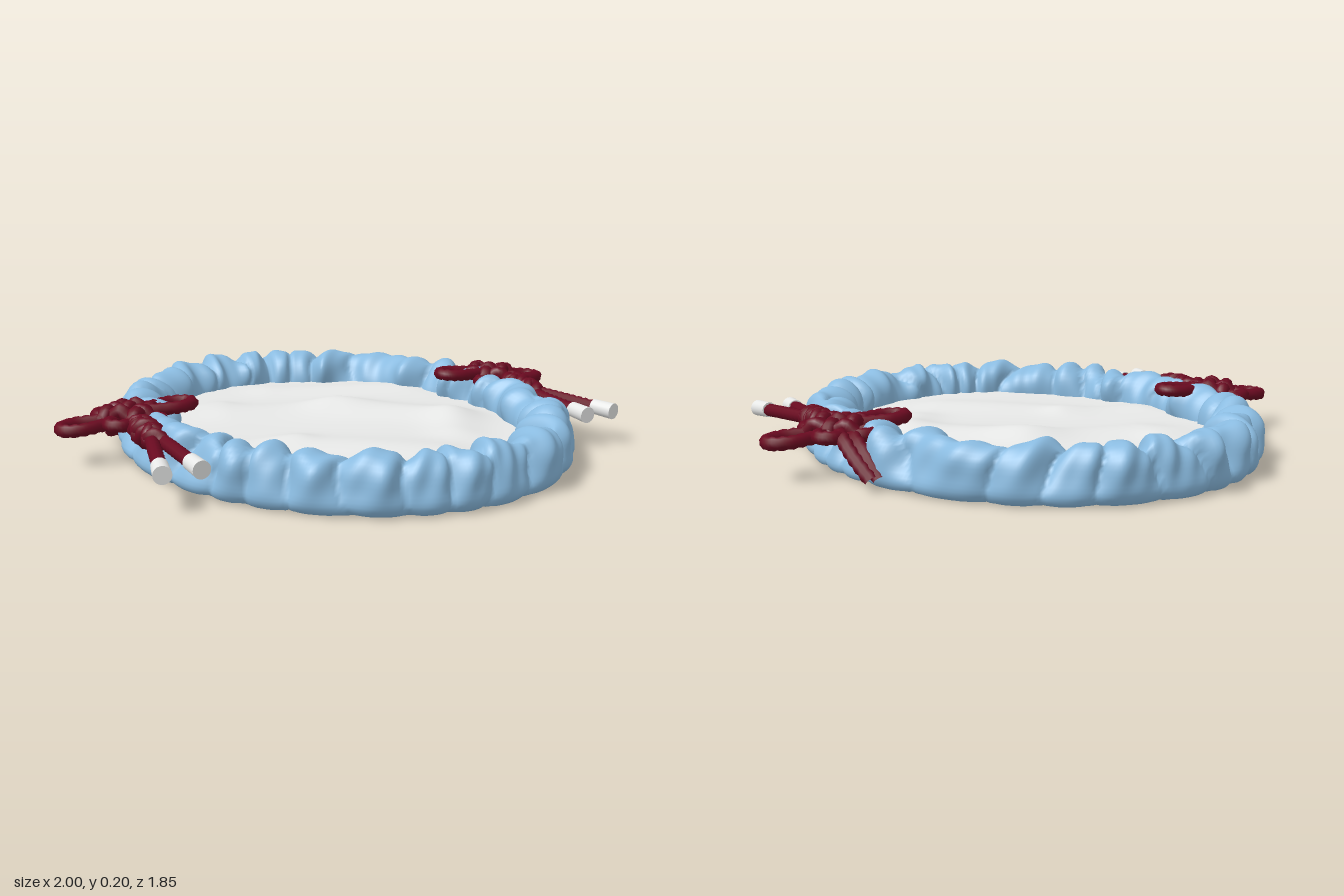
import * as THREE from 'three';

const mat = (name, color) => {
  const m = new THREE.MeshStandardMaterial({ color });
  m.name = name;
  return m;
};
const V = (x, y, z) => new THREE.Vector3(x, y, z);
const A = 0.772, B = 0.915; // half axes of the oval

// Surface from a point rule: u runs around (closed), v runs along rows.
function surface(nu, nv, closedV, point) {
  const pos = [], idx = [], rows = closedV ? nv : nv + 1;
  for (let i = 0; i < nu; i++)
    for (let j = 0; j < rows; j++) pos.push(...point((i / nu) * Math.PI * 2, j / nv).toArray());
  for (let i = 0; i < nu; i++)
    for (let j = 0; j < nv; j++) {
      const i2 = (i + 1) % nu, j2 = (j + 1) % rows;
      const a = i * rows + j, b = i * rows + j2, c = i2 * rows + j, d = i2 * rows + j2;
      idx.push(a, b, c, b, d, c);
    }
  const g = new THREE.BufferGeometry();
  g.setAttribute('position', new THREE.Float32BufferAttribute(pos, 3));
  g.setIndex(idx);
  g.computeVertexNormals();
  return g;
}

// Gathered fabric rim: a closed section swept round the oval and creased
function rimGeometry() {
  const section = new THREE.CatmullRomCurve3([
    V(0.02, 0.0, 0), V(-0.005, 0.03, 0), V(0.0, 0.08, 0), V(0.012, 0.135, 0), V(0.045, 0.17, 0),
    V(0.095, 0.17, 0), V(0.145, 0.135, 0), V(0.165, 0.08, 0), V(0.155, 0.02, 0), V(0.08, 0.012, 0)
  ], true);
  return surface(480, 36, true, (t, v) => {
    const p = section.getPoint(v), tan = section.getTangent(v);
    const top = THREE.MathUtils.smoothstep(p.y, 0.0, 0.15);
    const inner = THREE.MathUtils.smoothstep(p.x, 0.0, 0.13);
    // creases lean one way then the other along the rim
    const phase = 30 * t + 1.6 * Math.sin(3 * t) + 1.3 * Math.sin(7 * t + 1);
    const lean = 2 * Math.sin(5 * t + 0.6) * p.y / 0.17 + 20 * p.x * Math.sin(6 * t + 2);
    const puff = Math.pow(Math.abs(Math.sin((phase + lean) / 2)), 0.6) - 0.75;
    const fold = Math.sin(19 * t + 2 * Math.sin(4 * t) + 16 * p.x - 9 * p.y);
    const fine = Math.sin(53 * t + 30 * p.x + 2 * Math.sin(4 * t) + 20 * p.y);
    const swell = (0.014 + 0.034 * top) * puff + top * (0.009 * fold + 0.005 * fine);
    const sway = top * (0.018 * Math.sin(16 * t + 2 * Math.sin(3 * t)) + 0.014 * inner * Math.sin(23 * t + 1));
    const z0 = Math.sin(t) * B;
    const pinch = 0.06 * top * Math.exp(-((z0 / 0.32) ** 2)) * Math.exp(-p.x * 12);
    const inward = p.x - tan.y * swell + sway + pinch;
    const y = Math.max(0.004, p.y + tan.x * swell * 0.8);
    const n = V(Math.cos(t) / A, 0, Math.sin(t) / B).normalize();
    return V(Math.cos(t) * A - n.x * inward, y, z0 - n.z * inward);
  });
}

// Soft folds in the cloth: [x1, z1, x2, z2, width, height]
const folds = [
  [-0.3, -0.3, 0.1, -0.2, 0.13, 0.022], [0.1, -0.2, 0.4, 0.1, 0.12, 0.024],
  [0.42, 0.12, 0.3, 0.32, 0.09, 0.018], [-0.6, -0.35, -0.3, -0.42, 0.07, 0.012],
  [-0.55, 0.1, -0.25, 0.16, 0.07, 0.012], [-0.25, 0.2, 0.1, 0.5, 0.12, 0.016],
  [0.0, -0.6, 0.5, -0.4, 0.1, 0.014]
];
function clothHeight(x, z) {
  let y = 0.062 + 0.003 * Math.sin(7 * x + 4 * z);
  for (const [x1, z1, x2, z2, w, h] of folds) {
    const dx = x2 - x1, dz = z2 - z1;
    const k = THREE.MathUtils.clamp(((x - x1) * dx + (z - z1) * dz) / (dx * dx + dz * dz), 0, 1);
    const d = Math.hypot(x - x1 - k * dx, z - z1 - k * dz);
    y += h * Math.exp(-((d / w) ** 2));
  }
  return y;
}

// Twisted cord: a tube with a spiral ridge
function rope(points, r = 0.022) {
  const curve = new THREE.CatmullRomCurve3(points);
  const len = curve.getLength(), n = Math.max(16, Math.round(len / 0.008)), m = 10;
  const g = new THREE.TubeGeometry(curve, n, r, m, false);
  const p = g.attributes.position, nor = g.attributes.normal;
  const turns = Math.round(len / 0.06);
  for (let i = 0; i < p.count; i++) {
    const ring = Math.floor(i / (m + 1)) / n, a = (i % (m + 1)) / m;
    const k = 0.09 * r * Math.cos(2 * Math.PI * (2 * a + 2 * turns * ring));
    p.setXYZ(i, p.getX(i) + nor.getX(i) * k, p.getY(i) + nor.getY(i) * k, p.getZ(i) + nor.getZ(i) * k);
  }
  return g;
}

// Cord knot with loops, wrapped stem and capped tails; s is the side (+1 left, -1 right)
function knot(s, red, white) {
  const group = new THREE.Group();
  const cx = 0.745, cz = -0.12;
  const at = (x, y, z) => V(s * (cx + x), y, cz + z);
  const add = (name, geo, m = red) => {
    const mesh = new THREE.Mesh(geo, m);
    mesh.name = name;
    group.add(mesh);
    return mesh;
  };

  // Teardrop loops: two long ones sideways, four small ones on the diagonals
  const loop = (angle, length, width, y0, y1) => {
    const c = Math.cos(angle), d = Math.sin(angle);
    const shape = [[0.06, -0.12], [0.45, -0.75], [0.75, -1], [0.95, -0.6], [1, 0],
      [0.95, 0.6], [0.75, 1], [0.45, 0.75], [0.06, 0.12]];
    return rope(shape.map(([l, w]) => {
      const u = l * length, k = w * width;
      return at(u * c - k * d, y0 + (y1 - y0) * l, u * d + k * c);
    }), 0.022);
  };
  add('outerLoop', loop(0, 0.233, 0.05, 0.14, 0.125));
  add('innerLoop', loop(Math.PI, 0.225, 0.045, 0.16, 0.172));
  for (const sx of [-1, 1])
    for (const sz of [-1, 1]) add('smallLoop', loop(Math.atan2(sz * 0.1, sx * 0.075), 0.128, 0.036, 0.145, 0.142));

  // Woven centre: diagonal cords passing over and under
  const step = 0.054;
  for (let i = 0; i < 3; i++)
    for (const dir of [0, 1]) {
      const pts = [];
      for (let j = -0.5; j <= 2.5; j += 0.5) {
        const wave = Math.cos(Math.PI * (j + i + dir)) * 0.016;
        const u = (i - 1) * step, w = (j - 1) * step;
        const [a, b] = dir ? [u, w] : [w, u];
        const y = 0.16 + wave - 2.2 * w * w;
        pts.push(at((a - b) * 0.707, y, (a + b) * 0.707));
      }
      add('wovenCord', rope(pts, 0.025));
    }

  // Wrapped stem
  for (let k = 0; k < 3; k++) {
    const pts = [], way = k === 2 ? -1 : 1;
    for (let i = 0; i <= 30; i++) {
      const q = i / 30, a = way * q * Math.PI * 5 + k * Math.PI;
      const r = 0.014 + 0.016 * Math.sin(Math.PI * Math.min(1, q + 0.05));
      pts.push(at(0.005 + r * Math.cos(a), 0.14 - 0.005 * q + r * Math.sin(a), 0.11 + q * 0.22));
    }
    add('stemWrap', rope(pts, 0.022));
  }

  // Hanging tails with pale caps
  for (const [x0, x1] of [[-0.012, -0.022], [0.018, 0.08]]) {
    const start = at(x0, 0.135, 0.3), end = at(x1, 0.123, 0.57);
    add('tail', rope([start, start.clone().lerp(end, 0.5), end], 0.022));
    const dir = end.clone().sub(start).normalize();
    const cap = add('tailCap', new THREE.CylinderGeometry(0.029, 0.027, 0.085, 20), white);
    cap.position.copy(end).addScaledVector(dir, 0.025);
    cap.quaternion.setFromUnitVectors(V(0, 1, 0), dir);
  }

  // Pair of cords running back and down to the rim
  for (const k of [0, 1])
    add('backCord', rope([at(-0.02 + k * 0.04, 0.15, -0.04), at(-0.01 + k * 0.038, 0.135, -0.12),
      at(-0.016 + k * 0.033, 0.1 - k * 0.01, -0.19), at(-0.036 + k * 0.026, 0.03, -0.265)], 0.023));
  return group;
}

export function createModel() {
  const blue = mat('light blue fabric', 0x8abbe0);
  const red = mat('dark red cord', 0x690a20);
  const white = mat('off white', 0xeeefee);
  const grey = mat('pale grey base', 0xd2d2d2);
  const model = new THREE.Group();
  const add = (name, geo, m) => {
    const mesh = new THREE.Mesh(geo, m);
    mesh.name = name;
    model.add(mesh);
  };

  add('gatheredRim', rimGeometry(), blue);

  // Cloth lining inside the rim
  add('clothLining', surface(120, 50, false, (t, v) => {
    const x = Math.cos(t) * (A - 0.12) * (1 - v), z = Math.sin(t) * (B - 0.12) * (1 - v);
    return V(x, clothHeight(x, z), z);
  }), white);

  // Flat underside
  add('underside', surface(120, 1, false, (t, v) => {
    const w = 0.005 * Math.sin(16 * t + Math.sin(3 * t));
    return V(Math.cos(t) * (A - 0.014 + w) * v, 0, Math.sin(t) * (B - 0.014 + w) * v);
  }), grey);

  for (const s of [-1, 1]) {
    const k = knot(s, red, white);
    k.name = s > 0 ? 'leftKnot' : 'rightKnot';
    model.add(k);
  }
  return model;
}
